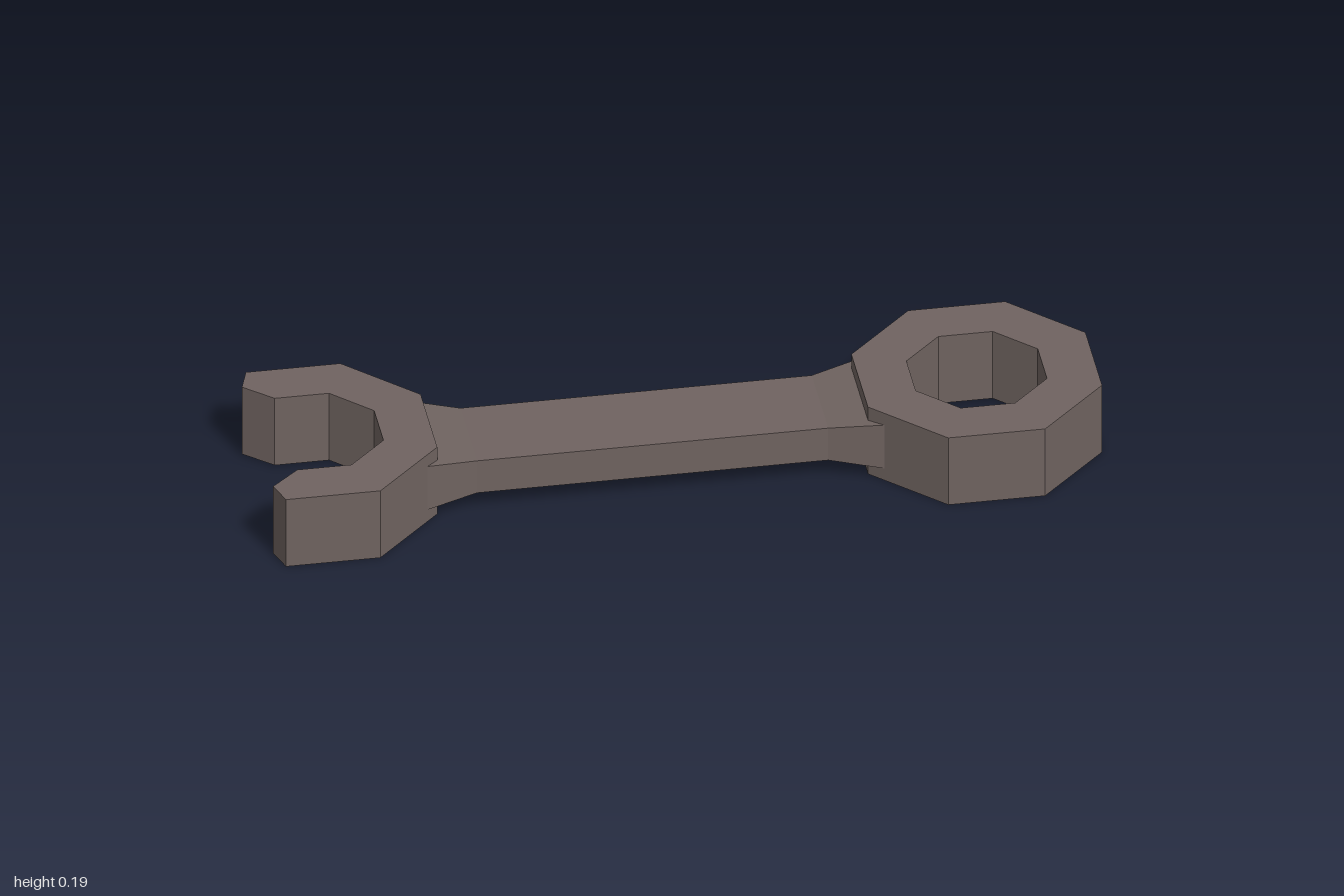
import * as THREE from 'three';

const HEIGHT = 0.188;
const MID = HEIGHT / 2;

// Flat-sided octagon with the given centre and apothem
function octagon(cx, apothem) {
  const r = apothem / Math.cos(Math.PI / 8);
  return Array.from({ length: 8 }, (_, i) => {
    const a = Math.PI / 8 + (i * Math.PI) / 4;
    return new THREE.Vector2(cx + r * Math.cos(a), r * Math.sin(a));
  });
}

// Plan outline raised to the full head height
function head(name, shape, material) {
  const geometry = new THREE.ExtrudeGeometry(shape, { depth: HEIGHT, bevelEnabled: false });
  geometry.rotateX(-Math.PI / 2);
  const mesh = new THREE.Mesh(geometry, material);
  mesh.name = name;
  return mesh;
}

// Rectangular sections [x, half height, half width] joined along x
function loft(sections) {
  const pos = [];
  const index = [];
  for (const [x, h, w] of sections) {
    pos.push(x, MID + h, w, x, MID - h, w, x, MID - h, -w, x, MID + h, -w);
  }
  for (let s = 0; s < sections.length - 1; s++) {
    for (let k = 0; k < 4; k++) {
      const a = s * 4 + k, b = s * 4 + ((k + 1) % 4);
      index.push(a, b, b + 4, a, b + 4, a + 4);
    }
  }
  const e = (sections.length - 1) * 4;
  index.push(0, 3, 2, 0, 2, 1, e, e + 1, e + 2, e, e + 2, e + 3);
  const indexed = new THREE.BufferGeometry();
  indexed.setAttribute('position', new THREE.Float32BufferAttribute(pos, 3));
  indexed.setIndex(index);
  const geometry = indexed.toNonIndexed();
  geometry.computeVertexNormals();
  return geometry;
}

export function createModel() {
  const group = new THREE.Group();
  group.name = 'wrench';
  const steel = new THREE.MeshStandardMaterial({ color: 0x6f6360, flatShading: true });
  steel.name = 'dull steel';

  // Closed octagonal ring
  const ring = new THREE.Shape(octagon(0.72, 0.28));
  ring.holes.push(new THREE.Path(octagon(0.72, 0.157)));
  group.add(head('ringHead', ring, steel));

  // Open jaw: one half outline, mirrored
  const half = [
    [-0.71, 0.065], [-0.802, 0.157], [-0.932, 0.157], [-1, 0.218],
    [-0.98, 0.28], [-0.754, 0.28], [-0.59, 0.116],
  ];
  const outline = [...half, ...half.map(([x, z]) => [x, -z]).reverse()];
  const jaw = new THREE.Shape(outline.map(([x, z]) => new THREE.Vector2(x, z)));
  group.add(head('openJaw', jaw, steel));

  // Handle, flaring where it enters each head
  const handle = new THREE.Mesh(loft([
    [-0.62, 0.061, 0.145],
    [-0.495, 0.045, 0.116],
    [0.345, 0.045, 0.116],
    [0.475, 0.061, 0.15],
  ]), steel);
  handle.name = 'handle';
  group.add(handle);

  return group;
}
